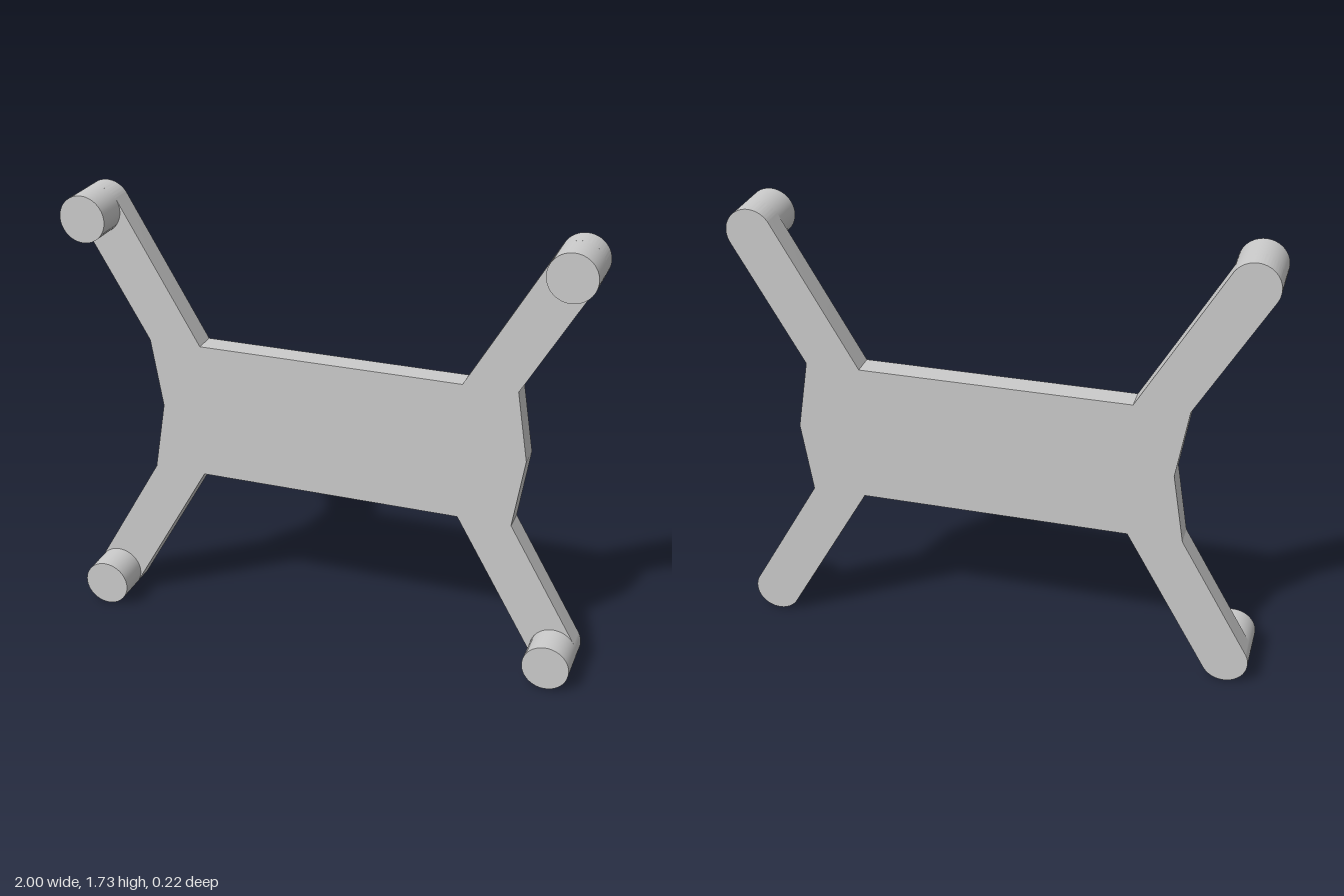
import * as THREE from 'three';
import { toCreasedNormals } from 'three/addons/utils/BufferGeometryUtils.js';

const R = 0.09, PEG_X = 0.91, LOW_Y = 0.09, HIGH_Y = 1.64;
const BACK = -0.11, PLATE_FRONT = -0.02, FRONT = 0.11;

export function createModel() {
  const group = new THREE.Group();
  const material = new THREE.MeshStandardMaterial({ color: 0xcccccc });
  const rad = THREE.MathUtils.degToRad;

  // Plate outline, counterclockwise: the body with four round-ended arms
  const outline = new THREE.Shape();
  const armEnd = (x, y, start) => outline.absarc(x, y, R, rad(start), rad(start + 180), false);
  outline.moveTo(0.765, 0.87);
  outline.lineTo(0.722, 1.14);
  armEnd(PEG_X, HIGH_Y, -30);
  outline.lineTo(0.515, 1.14);
  outline.lineTo(-0.515, 1.14);
  armEnd(-PEG_X, HIGH_Y, 30);
  outline.lineTo(-0.722, 1.14);
  outline.lineTo(-0.677, 0.87);
  outline.lineTo(-0.722, 0.597);
  armEnd(-PEG_X, LOW_Y, 150);
  outline.lineTo(-0.515, 0.597);
  outline.lineTo(0.515, 0.597);
  armEnd(PEG_X, LOW_Y, 210);
  outline.lineTo(0.722, 0.597);
  outline.closePath();

  const plateGeometry = new THREE.ExtrudeGeometry(outline, {
    depth: PLATE_FRONT - BACK, bevelEnabled: false, curveSegments: 32,
  });
  const plate = new THREE.Mesh(toCreasedNormals(plateGeometry, rad(9)), material);
  plate.position.z = BACK;
  plate.name = 'plate';
  group.add(plate);

  // Round pegs standing forward from the arm ends
  const pegGeometry = new THREE.CylinderGeometry(R, R, FRONT - PLATE_FRONT, 64);
  pegGeometry.rotateX(Math.PI / 2);
  for (const [side, x] of [['left', PEG_X], ['right', -PEG_X]]) {
    for (const [level, y] of [['Upper', HIGH_Y], ['Lower', LOW_Y]]) {
      const peg = new THREE.Mesh(pegGeometry, material);
      peg.position.set(x, y, (FRONT + PLATE_FRONT) / 2);
      peg.name = `${side}${level}Peg`;
      group.add(peg);
    }
  }
  return group;
}
